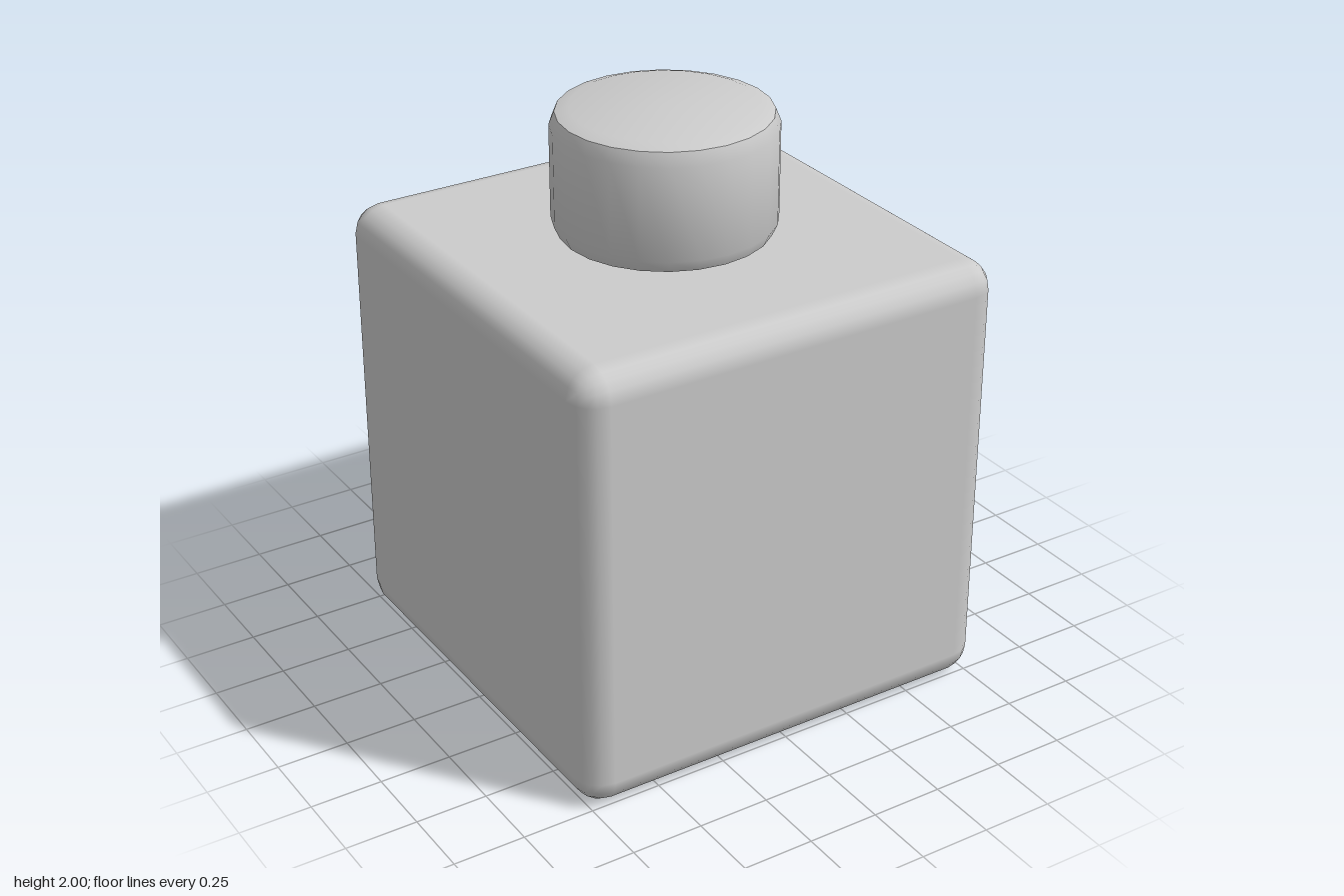
import * as THREE from 'three';
import { RoundedBoxGeometry } from 'three/addons/geometries/RoundedBoxGeometry.js';
import { toCreasedNormals } from 'three/addons/utils/BufferGeometryUtils.js';

const SIZE = 1.56, RADIUS = 0.1, HOLE = 1.245, DEPTH = 0.47;

// Corners of a centred square
function square(side) {
  const h = side / 2;
  return [[-h, -h], [h, -h], [h, h], [-h, h]].map(([x, y]) => new THREE.Vector2(x, y));
}

// Rounded box without the flat part of its underside
function openRoundedBox() {
  const box = new RoundedBoxGeometry(SIZE, SIZE, SIZE, 2, RADIUS);
  const p = box.attributes.position, n = box.attributes.normal;
  const positions = [], normals = [];
  for (let i = 0; i < p.count; i += 3) {
    if ([0, 1, 2].every(k => p.getY(i + k) < -SIZE / 2 + 1e-4)) continue;
    for (let k = i; k < i + 3; k++) {
      positions.push(p.getX(k), p.getY(k) + SIZE / 2, p.getZ(k));
      normals.push(n.getX(k), n.getY(k), n.getZ(k));
    }
  }
  const geo = new THREE.BufferGeometry();
  geo.setAttribute('position', new THREE.Float32BufferAttribute(positions, 3));
  geo.setAttribute('normal', new THREE.Float32BufferAttribute(normals, 3));
  return geo;
}

export function createModel() {
  const model = new THREE.Group();
  const material = new THREE.MeshStandardMaterial({ color: 0xcccccc });
  const add = (name, geometry) => {
    const mesh = new THREE.Mesh(geometry, material);
    mesh.name = name;
    model.add(mesh);
    return mesh;
  };

  // Cube body
  add('body', openRoundedBox());

  // Flat rim around the opening underneath
  const rim = new THREE.Shape(square(SIZE - 2 * RADIUS));
  rim.holes.push(new THREE.Path(square(HOLE)));
  add('bottomRim', new THREE.ShapeGeometry(rim).rotateX(Math.PI / 2));

  // Recess walls, facing inwards
  for (let i = 0; i < 4; i++) {
    const wall = new THREE.PlaneGeometry(HOLE, DEPTH)
      .translate(0, DEPTH / 2, -HOLE / 2)
      .rotateY(i * Math.PI / 2);
    add('recessWall' + (i + 1), wall);
  }

  // Recess ceiling, facing down
  add('recessCeiling', new THREE.PlaneGeometry(HOLE, HOLE).rotateX(Math.PI / 2).translate(0, DEPTH, 0));

  // Bevelled round peg on top
  const profile = [
    [0, 1.56], [0.31, 1.565], [0.355, 1.58], [0.373, 1.62],
    [0.373, 1.94], [0.355, 1.985], [0.31, 2], [0, 2],
  ].map(([r, y]) => new THREE.Vector2(r, y));
  add('peg', toCreasedNormals(new THREE.LatheGeometry(profile, 24), 0.7));

  return model;
}
